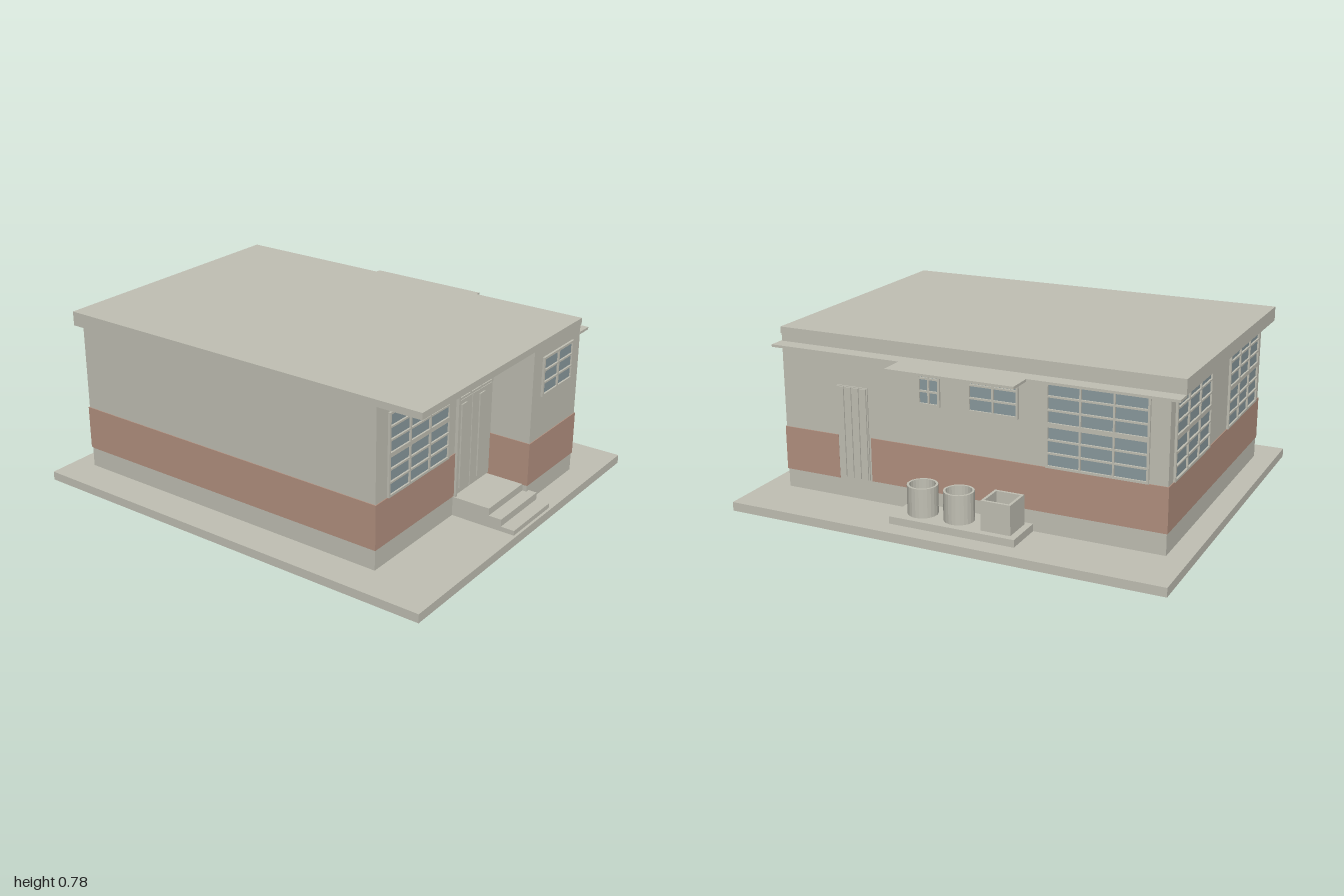
import * as THREE from 'three';

const mat = (name, color) => Object.assign(new THREE.MeshStandardMaterial({ color }), { name });

export function createModel() {
  const house = new THREE.Group();
  house.name = 'house';
  const concrete = mat('concrete', 0xc1c0b4);
  const brick = mat('brick', 0xb39180);
  const glass = mat('glass', 0x8a9a9e);

  const add = (parent, name, geo, material) => {
    const m = new THREE.Mesh(geo, material);
    m.name = name;
    parent.add(m);
    return m;
  };
  // Box given by its limits on each axis
  const box = (parent, name, material, x0, x1, y0, y1, z0, z1) => {
    const m = add(parent, name, new THREE.BoxGeometry(x1 - x0, y1 - y0, z1 - z0), material);
    m.position.set((x0 + x1) / 2, (y0 + y1) / 2, (z0 + z1) / 2);
    return m;
  };
  // Floor outline [x, z] raised from y0 to y1
  const slab = (name, material, outline, y0, y1) => {
    const shape = new THREE.Shape(outline.map(([x, z]) => new THREE.Vector2(x, -z)));
    const geo = new THREE.ExtrudeGeometry(shape, { depth: y1 - y0, bevelEnabled: false });
    add(house, name, geo.rotateX(-Math.PI / 2).translate(0, y0, 0), material);
  };
  const rect = (Type, x0, x1, y0, y1) => new Type([
    [x0, y0], [x1, y0], [x1, y1], [x0, y1]].map(p => new THREE.Vector2(...p)));
  // Group whose local xy plane lies on a wall
  const onWall = (name, x, z, turn) => {
    const g = new THREE.Group();
    g.name = name;
    g.position.set(x, 0, z);
    g.rotation.y = turn;
    house.add(g);
    return g;
  };
  // Window: one glass plate behind a frame pierced by rows of panes
  const windowUnit = (wall, name, x0, x1, y0, y1, cols, rows) => {
    const shape = rect(THREE.Shape, x0, x1, y0, y1);
    const edge = 0.006, w = (x1 - x0 - 2 * edge) / cols;
    const split = rows === 6 ? 0.012 : 0;
    const h = (y1 - y0 - 2 * edge - split) / rows;
    for (let r = 0; r < rows; r++) {
      for (let c = 0; c < cols; c++) {
        const px = x0 + edge + c * w, py = y0 + edge + r * h + (r >= 3 ? split : 0);
        shape.holes.push(rect(THREE.Path, px + 0.004, px + w - 0.004, py + 0.004, py + h - 0.004));
      }
    }
    const frame = new THREE.ExtrudeGeometry(shape, { depth: 0.01, bevelEnabled: false });
    add(wall, name + 'Frame', frame, concrete);
    box(wall, name + 'Glass', glass, x0 + 0.003, x1 - 0.003, y0 + 0.003, y1 - 0.003, -0.003, 0.002);
  };

  // Ground slab, walls and roof
  box(house, 'groundSlab', concrete, -0.85, 0.85, 0, 0.04, -1, 1);
  slab('walls', concrete, [[-0.69, -0.9], [0.58, -0.9], [0.58, 0.885], [0.17, 0.885],
    [0.17, 0.685], [-0.69, 0.685]], 0.04, 0.75);
  box(house, 'roof', concrete, -0.69, 0.58, 0.75, 0.78, -0.96, 0.89);
  box(house, 'rearFascia', concrete, -0.69, 0.58, 0.715, 0.75, -0.96, -0.9);
  slab('sideCanopy', concrete, [[0.575, -0.96], [0.65, -0.96], [0.65, -0.32], [0.765, -0.32],
    [0.765, 0.26], [0.65, 0.26], [0.65, 0.89], [0.575, 0.89]], 0.706, 0.717);

  // Brick bands, interrupted at the doors
  const t = 0.004;
  [
    ['frontLeft', -0.69 - t, -0.113, 0.132, 0.333, 0.68, 0.685 + t],
    ['frontRight', 0.17 - t, 0.58 + t, 0.125, 0.325, 0.87, 0.885 + t],
    ['porchSide', 0.17 - t, 0.175, 0.125, 0.325, 0.685, 0.875],
    ['rightFront', 0.57, 0.58 + t, 0.125, 0.325, 0.612, 0.88],
    ['rightRear', 0.57, 0.58 + t, 0.135, 0.333, -0.9, 0.448],
    ['back', -0.69 - t, 0.58 + t, 0.135, 0.333, -0.9 - t, -0.89],
    ['left', -0.69 - t, -0.68, 0.132, 0.333, -0.895, 0.683]
  ].forEach(([name, ...limits]) => box(house, name + 'BrickBand', brick, ...limits));

  // Windows
  const porch = onWall('porchWall', 0, 0.685, 0);
  windowUnit(porch, 'porchWindow', -0.612, -0.168, 0.333, 0.7, 3, 6);
  windowUnit(porch, 'transom', -0.107, 0.17, 0.572, 0.705, 3, 1);
  windowUnit(onWall('frontWall', 0, 0.885, 0), 'frontWindow', 0.245, 0.51, 0.52, 0.7, 2, 3);
  const right = onWall('rightWall', 0.58, 0, Math.PI / 2);
  windowUnit(right, 'narrowWindow', -0.21, -0.105, 0.52, 0.7, 2, 3);
  windowUnit(right, 'smallWindow', 0.025, 0.255, 0.52, 0.7, 2, 3);
  windowUnit(right, 'largeWindow', 0.377, 0.82, 0.333, 0.7, 3, 6);
  const back = onWall('backWall', 0, -0.9, Math.PI);
  windowUnit(back, 'backWindowA', -0.525, -0.075, 0.333, 0.7, 3, 6);
  windowUnit(back, 'backWindowB', 0.185, 0.635, 0.333, 0.7, 3, 6);

  // Double front door with long raised panels
  [[-0.1, 0.002, -0.065], [0.008, 0.168, 0.08]].forEach(([x0, x1, mid]) => {
    box(porch, 'doorLeaf', concrete, x0, x1, 0.135, 0.568, -0.005, 0.008);
    box(porch, 'doorPanel', concrete, mid - 0.02, mid + 0.02, 0.16, 0.55, 0, 0.014);
  });
  box(porch, 'doorPost', concrete, -0.113, -0.102, 0.13, 0.705, -0.005, 0.014);

  // Boarded side door
  box(right, 'sideDoorFrame', concrete, -0.61, -0.458, 0.135, 0.555, -0.005, 0.006);
  for (let i = 0; i < 4; i++) {
    const x = -0.606 + i * 0.037;
    box(right, 'sideDoorBoard', concrete, x, x + 0.032, 0.138, 0.551, 0, 0.012);
  }

  // Entrance steps
  box(house, 'lowerStep', concrete, -0.115, 0.19, 0.04, 0.062, 0.885, 0.988);
  box(house, 'middleStep', concrete, -0.115, 0.19, 0.04, 0.095, 0.885, 0.925);
  box(house, 'stepBase', concrete, -0.115, 0.17, 0.04, 0.095, 0.685, 0.885);
  box(house, 'upperStep', concrete, -0.115, 0.17, 0.095, 0.128, 0.685, 0.865);

  // Side pad with two open barrels and an open square bin
  box(house, 'sidePad', concrete, 0.575, 0.765, 0.04, 0.073, -0.32, 0.26);
  const profile = [[0, 0], [0.066, 0], [0.066, 0.13], [0.056, 0.13], [0.056, 0.02], [0, 0.02]];
  const flat = new THREE.LatheGeometry(profile.map(p => new THREE.Vector2(...p)), 24).toNonIndexed();
  flat.computeVertexNormals();
  for (const z of [0.15, -0.022]) {
    add(house, 'barrel', flat, concrete).position.set(0.668, 0.073, z);
  }
  const bin = rect(THREE.Shape, -0.067, 0.067, -0.067, 0.067);
  bin.holes.push(rect(THREE.Path, -0.055, 0.055, -0.055, 0.055));
  const binGeo = new THREE.ExtrudeGeometry(bin, { depth: 0.132, bevelEnabled: false });
  add(house, 'squareBin', binGeo.rotateX(-Math.PI / 2), concrete).position.set(0.668, 0.073, -0.223);
  return house;
}
